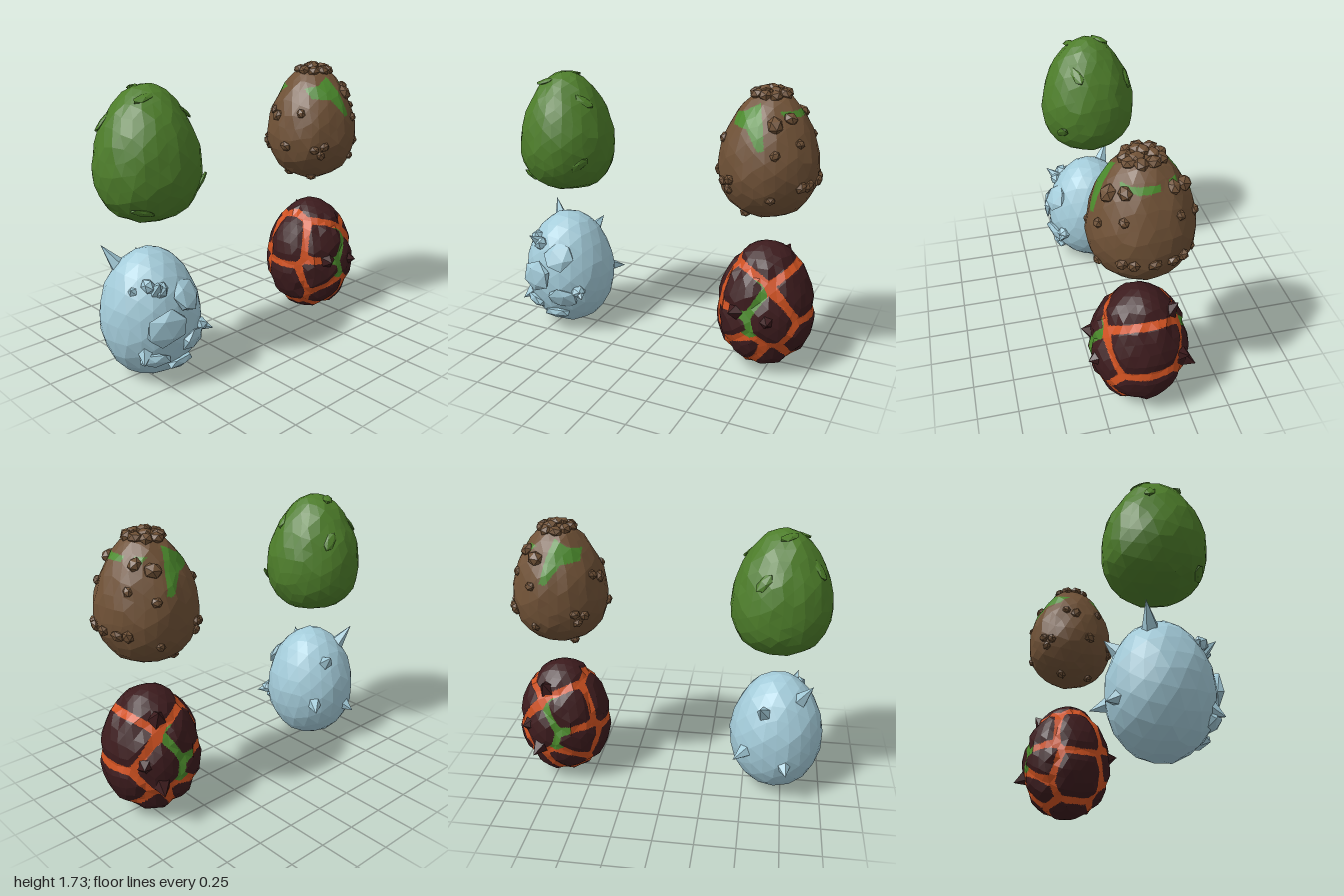
import * as THREE from 'three';

const mat = (name, color) => Object.assign(new THREE.MeshStandardMaterial({ color }), { name });
const V = (x, y, z) => new THREE.Vector3(x, y, z);

// Egg outlines: centre x, y; radius R; half height H; taper k; exponent p rounds the lower half
const EGGS = {
  leaf: { x: -0.68, y: 1.342, R: 0.298, H: 0.384, k: 0.22, p: 0.82 },
  rock: { x: 0.68, y: 1.335, R: 0.288, H: 0.378, k: 0.22, p: 1 },
  ice: { x: -0.7, y: 0.393, R: 0.298, H: 0.393, k: 0.08, p: 1 },
  lava: { x: 0.7, y: 0.395, R: 0.288, H: 0.383, k: 0.1, p: 1 },
};

// Repeatable value in -1..1 from a position
function hash(v, seed) {
  const q = Math.round(v.x * 500) * 12.9898 + Math.round(v.y * 500) * 78.233 + Math.round(v.z * 500) * 37.719;
  const s = Math.sin(q + seed) * 43758.5453;
  return (s - Math.floor(s)) * 2 - 1;
}

// Point on the egg for a unit direction, relative to the egg centre
function surface(egg, n) {
  const c = Math.sqrt(Math.max(0, 1 - n.y * n.y));
  const round = n.y < 0 && c > 1e-4 ? Math.pow(c, egg.p - 1) : 1;
  const w = egg.R * (1 - egg.k * n.y) * round;
  return V(n.x * w, n.y * egg.H, n.z * w);
}
// Surface point nearest to a local offset dx, a height y and a depth z
const onEgg = (egg, dx, y, z) =>
  surface(egg, V(dx / egg.R, (y - egg.y) / egg.H, z / egg.R).normalize());
// Front (side 1) or back (side -1) surface point at dx and height y
function facing(egg, dx, y, side = 1) {
  const ny = (y - egg.y) / egg.H;
  const w = egg.R * (1 - egg.k * ny);
  return V(dx, y - egg.y, side * Math.sqrt(Math.max(0, w * w * (1 - ny * ny) - dx * dx)));
}

// Faceted, slightly irregular shell
function shell(egg, detail, rough, lift = () => 0) {
  const g = new THREE.IcosahedronGeometry(1, detail);
  const p = g.attributes.position, n = V(), t = V();
  for (let i = 0; i < p.count; i++) {
    n.fromBufferAttribute(p, i).normalize();
    t.set(n.x + hash(n, 1) * rough * 5, n.y + hash(n, 2) * rough * 5, n.z + hash(n, 3) * rough * 5).normalize();
    const s = surface(egg, t);
    s.addScaledVector(t, hash(n, 4) * rough + lift(s));
    p.setXYZ(i, s.x, s.y, s.z);
  }
  g.computeVertexNormals();
  return g;
}

// Splits each facet into small flat triangles and sorts them by colour
function paint(geo, cuts, classify, materials) {
  const lists = materials.map(() => []);
  const p = geo.attributes.position;
  for (let f = 0; f < p.count; f += 3) {
    const [a, b, c] = [0, 1, 2].map((i) => V().fromBufferAttribute(p, f + i));
    b.sub(a); c.sub(a);
    const at = (i, j) => a.clone().addScaledVector(b, i / cuts).addScaledVector(c, j / cuts);
    const add = (...tri) => {
      const mid = V().add(tri[0]).add(tri[1]).add(tri[2]).divideScalar(3);
      const out = lists[classify(mid)];
      tri.forEach((v) => out.push(v.x, v.y, v.z));
    };
    for (let i = 0; i < cuts; i++) for (let j = 0; j < cuts - i; j++) {
      add(at(i, j), at(i + 1, j), at(i, j + 1));
      if (i + j < cuts - 1) add(at(i + 1, j), at(i + 1, j + 1), at(i, j + 1));
    }
  }
  return lists.map((list, i) => {
    const g = new THREE.BufferGeometry();
    g.setAttribute('position', new THREE.Float32BufferAttribute(list, 3));
    g.computeVertexNormals();
    return new THREE.Mesh(g, materials[i]);
  });
}

// Angular lump lying on the surface: half width, half height, half depth
function chunk(name, point, w, h, d, material, spin = 0) {
  const m = new THREE.Mesh(new THREE.IcosahedronGeometry(1, 0), material);
  m.name = name;
  m.scale.set(w, h, d);
  m.position.copy(point);
  m.quaternion.setFromUnitVectors(V(0, 0, 1), point.clone().normalize());
  m.rotateZ(spin);
  return m;
}

// Pointed crystal growing out of the surface to a tip
function spike(name, egg, [dx, y, z], r, material, sides = 5) {
  const tip = V(dx, y - egg.y, z);
  const base = onEgg(egg, dx, y, z).multiplyScalar(0.9);
  const dir = tip.clone().sub(base);
  const m = new THREE.Mesh(new THREE.ConeGeometry(r, dir.length(), sides).toNonIndexed(), material);
  m.geometry.computeVertexNormals();
  m.name = name;
  m.position.copy(base).add(tip).multiplyScalar(0.5);
  m.quaternion.setFromUnitVectors(V(0, 1, 0), dir.normalize());
  return m;
}

function inside(poly, x, y) {
  let hit = false;
  poly.forEach(([ax, ay], i) => {
    const [bx, by] = poly[(i + 1) % poly.length];
    if (ay > y !== by > y && x < ((bx - ax) * (y - ay)) / (by - ay) + ax) hit = !hit;
  });
  return hit;
}

export function createModel() {
  const leafGreen = mat('leaf green', 0x4d7d2a), moss = mat('moss green', 0x4b8a2c);
  const brown = mat('rock brown', 0x6f5136), iceBlue = mat('ice blue', 0xa3cbd9);
  const crust = mat('dark crust', 0x3c1b1d), glow = mat('lava orange', 0xcf5120);
  const model = new THREE.Group();
  const group = (name, egg) => {
    const g = new THREE.Group();
    g.name = name;
    g.position.set(egg.x, egg.y, 0);
    model.add(g);
    return g;
  };

  // Green egg with overlapping leafy ledges
  let egg = EGGS.leaf;
  const leaf = group('leafEgg', egg);
  const leafShell = new THREE.Mesh(shell(egg, 4, 0.006), leafGreen);
  leafShell.name = 'leafShell';
  leaf.add(leafShell);
  [[-0.1, 1.65, 0.12, 0.3], [-0.02, 1.66, -0.1, 0.8], [0.19, 1.53, 0.1, -0.4], [-0.2, 1.5, -0.12, 0.5],
    [0.2, 1.17, 0.2, 0.6], [-0.15, 1.05, 0.16, 0], [0.1, 1.45, -0.22, -0.5]].forEach(([x, y, z, s]) =>
    leaf.add(chunk('leafLedge', onEgg(egg, x, y, z), 0.075, 0.035, 0.014, leafGreen, s)));

  // Brown egg with moss patches on front, back and side
  egg = EGGS.rock;
  const rock = group('rockEgg', egg);
  const patch = [[-0.17, 1.58], [-0.1, 1.6], [-0.02, 1.645], [0.02, 1.54], [0.05, 1.41], [0.015, 1.4], [-0.07, 1.51], [-0.17, 1.52]];
  const mossy = (v) => {
    const y = v.y + 1.335;
    if (Math.abs(v.z) > 0.06 && inside(patch, v.x, y)) return 1;
    return v.x > 0.08 && v.z < 0.14 && v.z > -0.15 && Math.abs(v.z + 0.075) > 0.025 && y > 1.572 && y < 1.605 ? 1 : 0;
  };
  const rockParts = paint(shell(egg, 4, 0.006), 8, mossy, [brown, moss]);
  rockParts[0].name = 'rockShell';
  rockParts[1].name = 'mossPatches';
  rock.add(...rockParts);
  // Crown of rocks, then scattered nubs repeated front and back
  for (let i = 0; i < 9; i++) {
    const a = (i / 9) * Math.PI * 2 + 0.3;
    const x = Math.cos(a) * 0.1, z = Math.sin(a) * 0.11;
    rock.add(chunk('crownRock', onEgg(egg, x, 1.655 + 0.012 * Math.sin(i * 4), z), 0.045, 0.04, 0.032, brown, i));
  }
  [[0, 0], [0.05, 0.05], [-0.04, 0.03], [0.03, -0.06]].forEach(([x, z], i) =>
    rock.add(chunk('topRock', onEgg(egg, x, 1.7, z), 0.045, 0.04, 0.025, brown, i)));
  const nubs = [[-0.2, 1.2, 0.036], [-0.15, 1.22, 0.036], [-0.16, 1.16, 0.034], [0.095, 1.13, 0.032], [0.11, 1.385, 0.034],
    [0.085, 1.54, 0.055], [0.15, 1.57, 0.045], [0.24, 1.2, 0.04], [-0.235, 1.43, 0.034], [0.215, 1.44, 0.032], [-0.1, 0.99, 0.036]];
  for (const side of [1, -1]) nubs.forEach(([x, y, r], i) =>
    rock.add(chunk('rockNub', facing(egg, x, y, side), r, r * 0.85, r * 0.75, brown, i)));
  [[0.3, 1.19, 0], [0.28, 1.18, 0.11], [0.28, 1.18, -0.11], [-0.3, 1.2, 0.04], [-0.27, 1.4, -0.06]].forEach(([x, y, z], i) =>
    rock.add(chunk('sideNub', onEgg(egg, x, y, z), 0.042, 0.036, 0.026, brown, i)));

  // Ice egg with crystals and raised slabs
  egg = EGGS.ice;
  const ice = group('iceEgg', egg);
  const iceShell = new THREE.Mesh(shell(egg, 3, 0.004), iceBlue);
  iceShell.name = 'iceShell';
  ice.add(iceShell);
  [[-0.205, 0.8, -0.175], [0.11, 0.68, -0.28], [-0.13, 0.68, 0.285], [0.26, 0.32, -0.3], [-0.07, 0.25, -0.345],
    [0.25, 0.29, 0.28], [-0.23, 0.2, 0.25], [-0.22, 0.62, 0.13]].forEach((tip) =>
    ice.add(spike('iceCrystal', egg, tip, 0.055, iceBlue)));
  [[0.21, 0.31, 0.25], [-0.09, 0.63, 0.255], [-0.15, 0.65, 0.2]].forEach((p, i) =>
    ice.add(chunk('iceShard', onEgg(egg, ...p), 0.05, 0.04, 0.05, iceBlue, i)));
  [[-0.09, 0.4, 0.14, 0.11, 0.4], [0.07, 0.55, 0.11, 0.1, 0.9], [0.1, 0.27, 0.11, 0.08, -0.4], [-0.14, 0.2, 0.1, 0.06, 0.2],
    [0.03, 0.14, 0.1, 0.05, 0]].forEach(([x, y, w, h, s]) =>
    ice.add(chunk('iceSlab', facing(egg, x, y), w, h, 0.035, iceBlue, s)));

  // Lava egg: crust plates grow around seeds, mirrored front to back
  egg = EGGS.lava;
  const lava = group('lavaEgg', egg);
  const seeds = [];
  [['top', 0.03, 0.7, 0.08], ['upperRight', 0.26, 0.53, 0.11], ['lowerRight', 0.26, 0.23, 0.1], ['upperLeft', -0.28, 0.55, 0.03],
    ['lowerLeft', -0.28, 0.22, 0.05], ['bottom', -0.02, 0.01, 0.02]].forEach(([id, x, y, z]) =>
    [z, -z].forEach((d) => seeds.push({ id, at: onEgg(egg, x, y, d) })));
  [[-0.115, 0.535], [0.13, 0.395], [-0.15, 0.32], [-0.06, 0.17], [0.1, 0.1]].forEach(([x, y], i) =>
    [1, -1].forEach((s) => seeds.push({ id: `plate${i}${s}`, at: facing(egg, x, y, s) })));
  const cell = (v) => {
    const near = new Map();
    for (const s of seeds) near.set(s.id, Math.min(near.get(s.id) ?? 9, s.at.distanceTo(v)));
    const d = [...near.values()].sort((a, b) => a - b);
    return { first: d[0], gap: d[1] - d[0] };
  };
  const lavaColour = (v) => {
    const { first, gap } = cell(v);
    if (gap > 0.044 && first < 0.175) return 0;
    const e = ((v.x + 0.005) / 0.1) ** 2 + ((v.y - 0.06) / 0.17) ** 2;
    return Math.abs(v.z) > 0.1 && e < 1 ? 2 : 1;
  };
  const raise = (v) => (cell(v).gap > 0.055 ? 0.012 : -0.004);
  const lavaParts = paint(shell(egg, 5, 0.004, raise), 8, lavaColour, [crust, glow, moss]);
  ['crustPlates', 'lavaCracks', 'mossCracks'].forEach((name, i) => { lavaParts[i].name = name; });
  lava.add(...lavaParts);
  // Blunt crust points
  [[0.08, 0.72, -0.21], [0.14, 0.25, -0.325], [-0.13, 0.43, 0.32], [0.11, 0.4, 0.325], [0.22, 0.42, -0.25]].forEach((tip) =>
    lava.add(spike('crustPoint', egg, tip, 0.07, crust)));

  return model;
}
